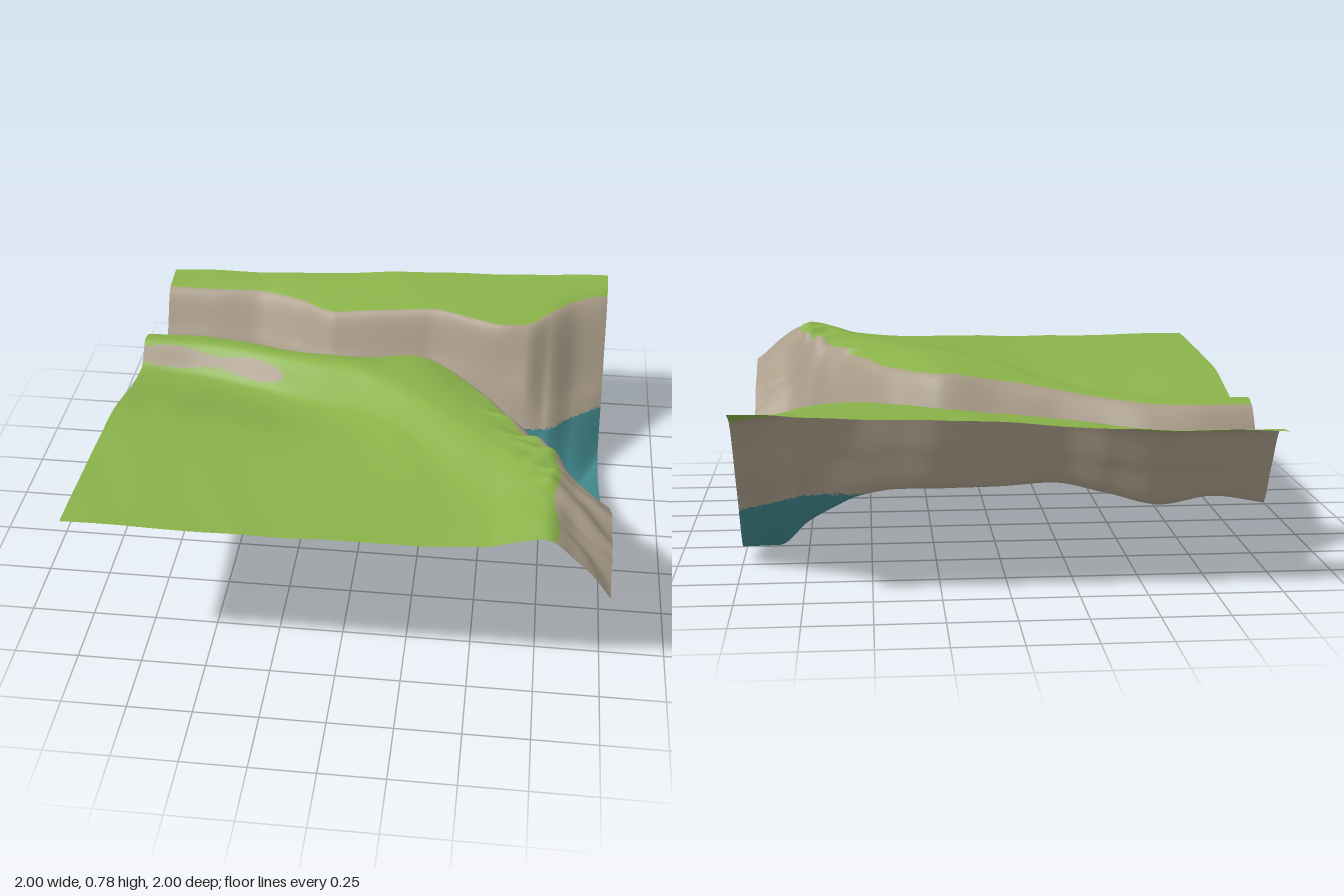
import * as THREE from 'three';

// Smooth interpolation through points without overshoot (monotone cubic)
function curve(xs, ys) {
  const n = xs.length, d = [], m = [];
  for (let i = 0; i < n - 1; i++) d.push((ys[i + 1] - ys[i]) / (xs[i + 1] - xs[i]));
  for (let i = 0; i < n; i++) {
    if (i === 0) m.push(d[0]);
    else if (i === n - 1) m.push(d[n - 2]);
    else m.push(d[i - 1] * d[i] <= 0 ? 0 : 2 * d[i - 1] * d[i] / (d[i - 1] + d[i]));
  }
  return (x) => {
    let i = 0;
    while (i < n - 2 && x > xs[i + 1]) i++;
    const h = xs[i + 1] - xs[i], t = (x - xs[i]) / h, t2 = t * t, t3 = t2 * t;
    return ys[i] * (2 * t3 - 3 * t2 + 1) + h * m[i] * (t3 - 2 * t2 + t)
      + ys[i + 1] * (3 * t2 - 2 * t3) + h * m[i + 1] * (t3 - t2);
  };
}

// A landscape line running across x, with its depth z and height y at each station
const STATIONS = [-1, -0.8, -0.6, -0.4, -0.2, 0, 0.2, 0.4, 0.55, 0.65, 0.75, 0.87, 1];
const line = (z, y) => ({
  z: Array.isArray(z) ? curve(STATIONS, z) : () => z,
  y: curve(STATIONS, y),
});

const backEdge = line(-1,
  [0.6, 0.61, 0.61, 0.62, 0.63, 0.65, 0.66, 0.665, 0.67, 0.675, 0.68, 0.69, 0.695]);
const northRim = line(
  [-0.87, -0.87, -0.88, -0.81, -0.7, -0.7, -0.7, -0.63, -0.58, -0.6, -0.7, -0.83, -0.9],
  [0.58, 0.58, 0.58, 0.59, 0.6, 0.62, 0.64, 0.65, 0.65, 0.65, 0.655, 0.65, 0.645]);
const northWall = line(
  [-0.76, -0.76, -0.765, -0.69, -0.6, -0.6, -0.6, -0.535, -0.475, -0.45, -0.44, -0.56, -0.66],
  [0.41, 0.42, 0.41, 0.42, 0.44, 0.45, 0.45, 0.45, 0.42, 0.42, 0.32, 0.32, 0.33]);
const floor = line(
  [-0.66, -0.66, -0.66, -0.58, -0.5, -0.505, -0.5, -0.44, -0.38, -0.34, -0.28, -0.22, -0.43],
  [0.25, 0.28, 0.25, 0.28, 0.305, 0.295, 0.29, 0.275, 0.235, 0.18, 0.11, 0, 0.055]);
const southWall = line(
  [-0.55, -0.56, -0.55, -0.47, -0.4, -0.38, -0.36, -0.26, -0.1, -0.02, 0.1, 0.16, 0.18],
  [0.42, 0.43, 0.42, 0.42, 0.44, 0.46, 0.47, 0.46, 0.42, 0.36, 0.245, 0.245, 0.235]);
const southRim = line(
  [-0.43, -0.44, -0.41, -0.34, -0.27, -0.23, -0.22, -0.06, 0.16, 0.34, 0.46, 0.64, 0.7],
  [0.59, 0.59, 0.595, 0.61, 0.64, 0.665, 0.69, 0.69, 0.71, 0.73, 0.75, 0.69, 0.6]);
const crest = line(
  [-0.37, -0.37, -0.34, -0.27, -0.17, -0.05, 0.1, 0.3, 0.45, 0.58, 0.65, 0.75, 0.8],
  [0.605, 0.605, 0.61, 0.625, 0.665, 0.715, 0.738, 0.745, 0.75, 0.765, 0.775, 0.7, 0.59]);
const trough = line(
  [-0.26, -0.25, -0.2, -0.12, 0, 0.14, 0.34, 0.6, 0.75, 0.8, 0.85, 0.88, 0.9],
  [0.52, 0.505, 0.505, 0.52, 0.565, 0.635, 0.68, 0.69, 0.7, 0.735, 0.75, 0.66, 0.55]);
const meadow = line(
  [0.25, 0.25, 0.28, 0.32, 0.38, 0.45, 0.6, 0.75, 0.85, 0.88, 0.91, 0.94, 0.96],
  [0.62, 0.62, 0.615, 0.615, 0.625, 0.645, 0.67, 0.678, 0.69, 0.725, 0.745, 0.65, 0.51]);
const frontEdge = line(1,
  [0.66, 0.66, 0.655, 0.655, 0.655, 0.66, 0.66, 0.665, 0.68, 0.71, 0.73, 0.64, 0.48]);
const LINES = [backEdge, northRim, northWall, floor, southWall,
  southRim, crest, trough, meadow, frontEdge];

const CELLS = 220;
const WATER_LEVEL = 0.245;
const ramp = THREE.MathUtils.smoothstep;

// Craggy ridges on the eastern cliff and slight unevenness of the meadow
function roughness(x, z, y) {
  const cliff = ramp(x, 0.42, 0.6) * ramp(z, -0.2, 0.1) * ramp(y, 0.25, 0.35)
    * ramp(x - 0.5 * z, 0.34, 0.46);
  const crag = Math.sin(38 * z + 9 * x + 2 * Math.sin(17 * x))
    + 0.7 * Math.sin(61 * z - 23 * x + 1.5 * Math.sin(29 * z));
  return 0.008 * cliff * crag
    + 0.0015 * ramp(y, 0.5, 0.6) * Math.sin(19 * x + 5 * z) * Math.sin(16 * z - 4 * x);
}

export function createModel() {
  const group = new THREE.Group();
  group.name = 'riverGorgeLandscape';
  const colour = (name, hex) => {
    const m = new THREE.MeshStandardMaterial({ color: hex, side: THREE.DoubleSide });
    m.name = name;
    return m;
  };

  // Ground heights, one cross-section for each x
  const positions = [];
  for (let i = 0; i <= CELLS; i++) {
    const x = -1 + 2 * i / CELLS;
    const section = curve(LINES.map((l) => l.z(x)), LINES.map((l) => l.y(x)));
    for (let j = 0; j <= CELLS; j++) {
      const z = -1 + 2 * j / CELLS, y = section(z);
      positions.push(x, Math.max(0, y + roughness(x, z, y)), z);
    }
  }
  const ground = new THREE.BufferGeometry();
  ground.setAttribute('position', new THREE.Float32BufferAttribute(positions, 3));

  // Sort the triangles into grass, rock and water bed
  const faces = { grass: [], rock: [], water: [] };
  const kind = (a, b, c) => {
    const mean = (k) => (positions[3 * a + k] + positions[3 * b + k] + positions[3 * c + k]) / 3;
    const x = mean(0), y = mean(1), z = mean(2);
    if (y < WATER_LEVEL) return 'water';
    if (z > northRim.z(x) && z < southRim.z(x)) return 'rock';
    if (z > 0.4 && x > 0.79 + 0.012 * Math.sin(22 * z)) return 'rock';
    // Bare patches where the step behind the rim is steepest
    const fall = (positions[3 * a + 1] - positions[3 * b + 1]) * CELLS / 2;
    if (x < 0.2 && z > crest.z(x) && z < trough.z(x)
      && fall > 0.98 + 0.12 * Math.sin(16 * x)) return 'rock';
    return 'grass';
  };
  const all = [];
  const addFace = (a, b, c, type) => {
    faces[type].push(a, b, c);
    all.push(a, b, c);
  };
  const row = CELLS + 1;
  for (let i = 0; i < CELLS; i++) {
    for (let j = 0; j < CELLS; j++) {
      const a = i * row + j, b = a + 1, c = a + row, d = c + 1;
      addFace(a, b, c, kind(a, b, c));
      addFace(b, d, c, kind(c, d, b));
    }
  }
  ground.setIndex(all);
  ground.computeVertexNormals();

  // One mesh per surface, sharing vertices so that shading runs on smoothly
  const addSurface = (name, type, material) => {
    const geometry = new THREE.BufferGeometry();
    geometry.setAttribute('position', ground.attributes.position);
    geometry.setAttribute('normal', ground.attributes.normal);
    geometry.setIndex(faces[type]);
    const mesh = new THREE.Mesh(geometry, material);
    mesh.name = name;
    group.add(mesh);
  };
  addSurface('grassland', 'grass', colour('grassGreen', 0x8ab24a));
  addSurface('gorgeWalls', 'rock', colour('rockTan', 0xaa9d89));
  addSurface('poolBed', 'water', colour('waterTeal', 0x3f8488));
  return group;
}
